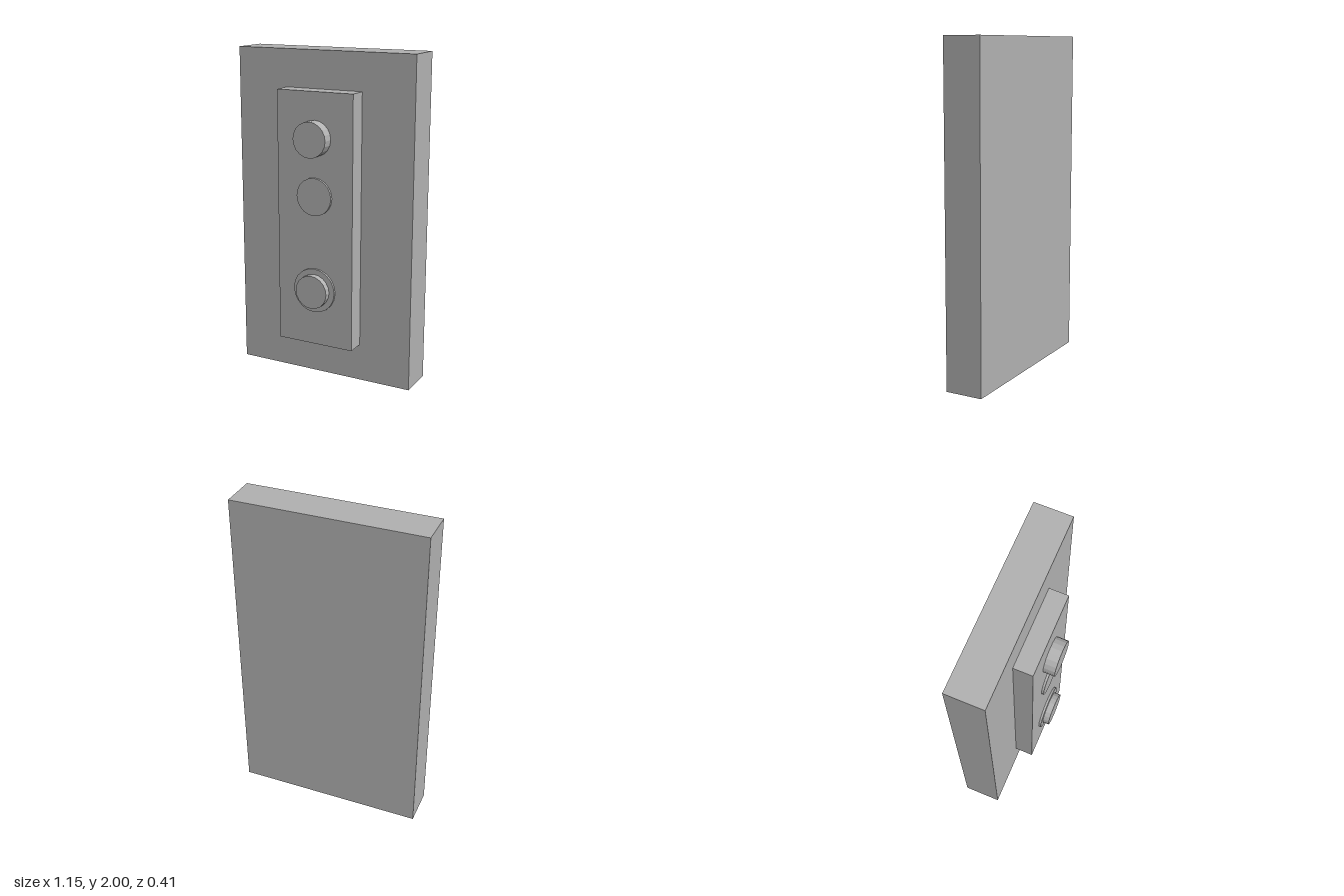
import * as THREE from 'three';

export function createModel() {
  const model = new THREE.Group();
  const grey = new THREE.MeshStandardMaterial({ color: 0xb2b2b2, flatShading: true });
  grey.name = 'plain grey';

  const add = (name, geometry, x, y, z) => {
    const mesh = new THREE.Mesh(geometry, grey);
    mesh.name = name;
    mesh.position.set(x, y, z);
    model.add(mesh);
  };

  // Box spanning z0 to z1
  const slab = (name, w, h, y, z0, z1) =>
    add(name, new THREE.BoxGeometry(w, h, z1 - z0), 0, y, (z0 + z1) / 2);

  // Round part facing forward, spanning z0 to z1
  const disc = (name, r, y, z0, z1) =>
    add(name, new THREE.CylinderGeometry(r, r, z1 - z0, 20).rotateX(Math.PI / 2), 0, y, (z0 + z1) / 2);

  // Backing board and raised panel
  slab('backBoard', 1.152, 2, 1, -0.206, 0.022);
  slab('frontPanel', 0.495, 1.544, 1.003, 0.022, 0.137);

  // Controls on the panel
  disc('upperKnob', 0.106, 1.504, 0.137, 0.206);
  disc('middleDisc', 0.114, 1.157, 0.137, 0.151);
  disc('lowerButtonRing', 0.137, 0.579, 0.137, 0.151);
  disc('lowerButton', 0.103, 0.579, 0.151, 0.19);

  return model;
}
